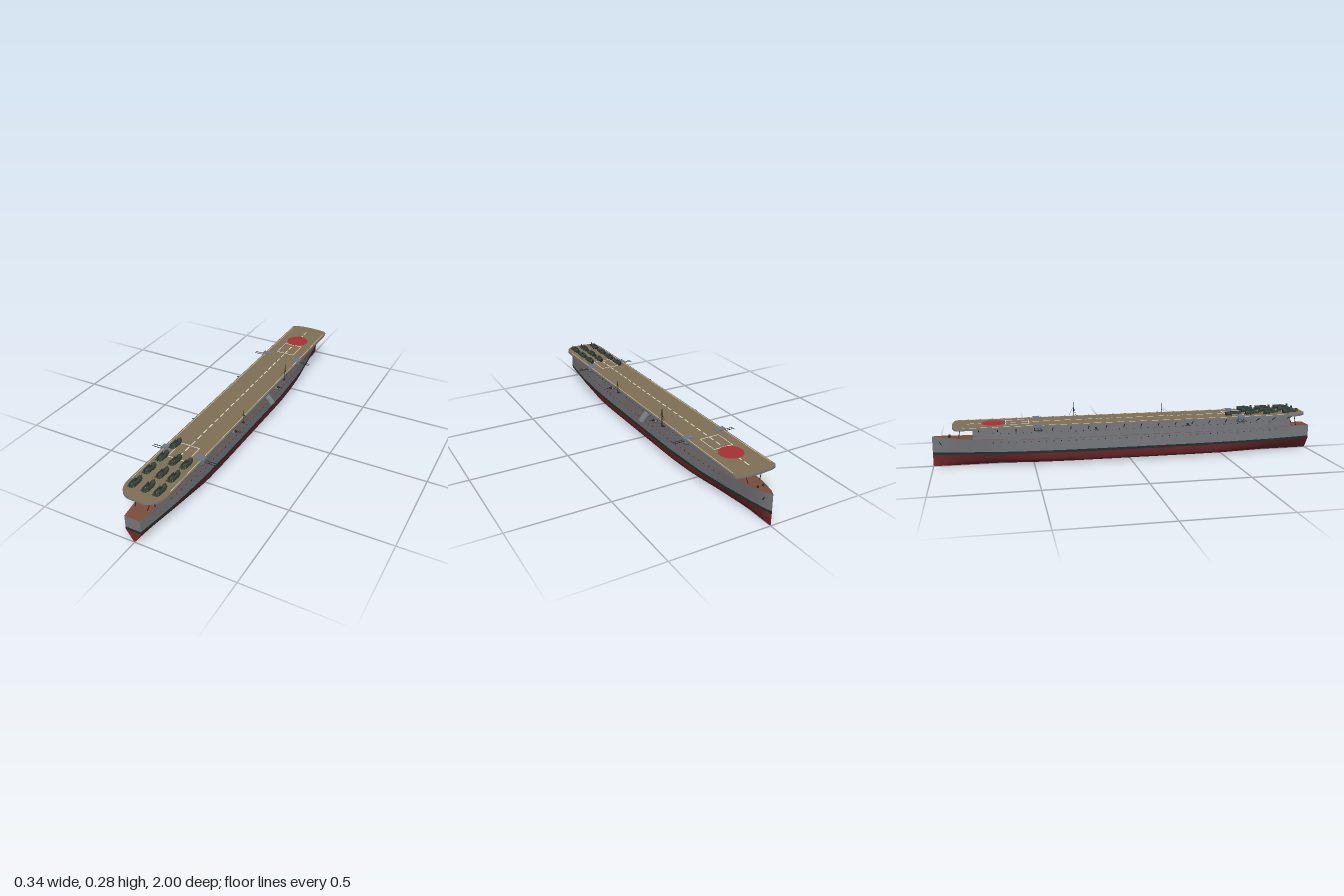
import * as THREE from 'three';
import { mergeGeometries, toCreasedNormals } from 'three/addons/utils/BufferGeometryUtils.js';

const mat = (name, color) => Object.assign(new THREE.MeshStandardMaterial({ color, side: THREE.DoubleSide }), { name });
const V = (x, y, z) => new THREE.Vector3(x, y, z);

// Interpolate a [z, value] table sorted by z.
function table(t, z) {
  for (let i = 1; i < t.length; i++) {
    if (z <= t[i][0]) return THREE.MathUtils.mapLinear(z, t[i - 1][0], t[i][0], t[i - 1][1], t[i][1]);
  }
  return t[t.length - 1][1];
}
const BEAM = [[-1, 0.001], [-0.97, 0.016], [-0.9, 0.036], [-0.75, 0.06], [-0.55, 0.077], [-0.3, 0.0875],
  [0.35, 0.0875], [0.55, 0.083], [0.75, 0.071], [0.9, 0.053], [1, 0.04]];
const beam = z => table(BEAM, z);
const waterBeam = z => beam(z) * table([[-1, 0.65], [-0.6, 0.97], [-0.3, 1], [1, 1]], z);
const deckY = z => table([[-1, 0.156], [-0.8, 0.141], [-0.5, 0.136], [1, 0.135]], z);
const hangarBeam = z => table([[-0.8, 0.05], [-0.6, 0.068], [-0.35, 0.08], [0.55, 0.08], [0.75, 0.066], [0.89, 0.045]], z);
const stations = (a, b, n) => Array.from({ length: n + 1 }, (_, i) => a + (b - a) * i / n);

// Skin cross-sections along z; caps close both ends of a convex section.
function loft(zs, section, caps = true) {
  const pos = [], idx = [], n = section(zs[0]).length, last = (zs.length - 1) * n;
  zs.forEach(z => section(z).forEach(([x, y]) => pos.push(x, y, z)));
  for (let i = 0; i < zs.length - 1; i++) for (let j = 0; j < n - 1; j++) {
    const a = i * n + j, b = a + n;
    idx.push(a, a + 1, b, a + 1, b + 1, b);
  }
  if (caps) for (let j = 1; j < n - 1; j++) idx.push(0, j + 1, j, last, last + j, last + j + 1);
  const g = new THREE.BufferGeometry();
  g.setAttribute('position', new THREE.Float32BufferAttribute(pos, 3));
  g.setIndex(idx);
  return toCreasedNormals(g.toNonIndexed(), 0.5);
}
// Section mirrored about x = 0, from port top down and up to starboard top.
const mirror = half => [...half.map(([x, y]) => [-x, y]).reverse(), ...half];

function bar(a, b, r, sides = 5) {
  const d = b.clone().sub(a), g = new THREE.CylinderGeometry(r, r, d.length(), sides);
  g.applyQuaternion(new THREE.Quaternion().setFromUnitVectors(V(0, 1, 0), d.normalize()));
  return g.translate((a.x + b.x) / 2, (a.y + b.y) / 2, (a.z + b.z) / 2);
}
const box = (w, h, d, x, y, z) => new THREE.BoxGeometry(w, h, d).translate(x, y, z);

export function createModel() {
  const root = new THREE.Group();
  root.name = 'aircraftCarrier';
  const grey = mat('hullGrey', 0x76787c), red = mat('antifoulingRed', 0x752a2c), boot = mat('bootTopping', 0x22302f);
  const tan = mat('flightDeckTan', 0x7f7054), wood = mat('woodBrown', 0x7a4f3a), white = mat('markingWhite', 0xdedbd0);
  const disc = mat('discRed', 0xaa3034), green = mat('aircraftGreen', 0x34443a), blue = mat('gunBlueGrey', 0x6c7888);
  const dark = mat('darkSteel', 0x292c2f);
  const add = (name, geo, m, parent = root) => {
    const mesh = new THREE.Mesh(Array.isArray(geo) ? mergeGeometries(geo) : geo, m);
    mesh.name = name;
    parent.add(mesh);
    return mesh;
  };

  // Hull in three colour bands
  const zs = [-1, -0.985, -0.97, ...stations(-0.94, 1, 40)];
  const full = [[0, 0.002], [0.68, 0.01], [0.86, 0.02], [0.96, 0.036], [1, 0.062]];
  const vee = [[0, 0.002], [0.2, 0.012], [0.45, 0.028], [0.72, 0.045], [1, 0.062]];
  const underwater = z => {
    const k = table([[-1, 0], [-0.45, 1], [0.5, 1], [1, 0]], z), w = waterBeam(z);
    return mirror(full.map((p, i) => [w * (p[0] * k + vee[i][0] * (1 - k)), p[1] * k + vee[i][1] * (1 - k)]));
  };
  add('underwaterHull', loft(zs, underwater), red);
  add('bootTopping', loft(zs, z => mirror([[waterBeam(z), 0.062], [waterBeam(z), 0.075]])), boot);
  add('topsides', loft(zs, z => mirror([[waterBeam(z), 0.075], [beam(z), deckY(z)]])), grey);
  add('mainDeck', loft(zs, z => [[beam(z), deckY(z)], [-beam(z), deckY(z)]], false), wood);

  // Hangar under the flight deck
  add('hangar', loft(stations(-0.8, 0.89, 26), z => mirror([[hangarBeam(z), 0.13], [hangarBeam(z), 0.201]])), grey);

  // Flight deck: slab plus planked top
  const outline = new THREE.Shape();
  outline.moveTo(-0.108, 0.865);
  outline.quadraticCurveTo(-0.106, 0.888, -0.075, 0.893);
  outline.quadraticCurveTo(0, 0.905, 0.075, 0.893);
  outline.quadraticCurveTo(0.106, 0.888, 0.108, 0.865);
  outline.lineTo(0.108, -0.865);
  outline.bezierCurveTo(0.106, -0.93, 0.07, -0.966, 0.03, -0.966);
  outline.lineTo(-0.03, -0.966);
  outline.bezierCurveTo(-0.07, -0.966, -0.106, -0.93, -0.108, -0.865);
  add('flightDeckSlab', new THREE.ExtrudeGeometry(outline, { depth: 0.01, bevelEnabled: false })
    .rotateX(-Math.PI / 2).translate(0, 0.2, 0), grey);
  add('flightDeckPlanking', new THREE.ShapeGeometry(outline).rotateX(-Math.PI / 2).translate(0, 0.2108, 0), tan);

  // Deck markings
  const marks = [], plate = (w, d, x, z) => marks.push(box(w, 0.001, d, x, 0.2114, z));
  for (let z = -0.81; z < 0.62; z += 0.0545) plate(0.006, 0.034, 0, z);
  for (const s of [-1, 1]) plate(0.0022, 1.7, s * 0.1, 0);
  for (const c of [-0.578, 0.583]) for (const s of [-1, 1]) {
    plate(0.003, 0.118, s * 0.05, c);
    plate(0.1, 0.004, 0, c + s * 0.058);
  }
  add('deckMarkings', marks, white);
  add('deckDisc', new THREE.CylinderGeometry(0.059, 0.059, 0.001, 40).translate(0, 0.2122, -0.695), disc);

  // Deck brackets, portholes and side rails
  const struts = [], ports = [];
  for (const s of [-1, 1]) {
    for (const z of stations(-0.77, 0.87, 18)) {
      struts.push(bar(V(s * (hangarBeam(z) - 0.002), 0.178, z), V(s * 0.106, 0.2, z), 0.0022));
    }
    for (const z of stations(-0.7, 0.8, 40)) {
      ports.push(box(0.003, 0.004, 0.004, s * (hangarBeam(z) + 0.0005), 0.17, z));
      ports.push(box(0.003, 0.004, 0.004, s * (beam(z) - 0.0002), 0.124, z));
    }
    for (const z of [-0.89, 0.95]) struts.push(bar(V(s * 0.03, deckY(z), z < 0 ? -0.87 : 0.93), V(s * 0.045, 0.2, z < 0 ? -0.86 : 0.91), 0.002));
  }
  add('deckBrackets', struts, dark);
  add('portholes', ports, dark);

  // Stern ladder
  const ladder = [box(0.0015, 0.066, 0.002, 0.041, 0.167, 0.892), box(0.0015, 0.066, 0.002, 0.047, 0.167, 0.892)];
  for (let y = 0.138; y < 0.2; y += 0.007) ladder.push(box(0.006, 0.0015, 0.002, 0.044, y, 0.892));
  add('sternLadder', ladder, boot);

  // Anchors and capstans at the bow
  const bow = [];
  for (const s of [-1, 1]) {
    bow.push(new THREE.CylinderGeometry(0.005, 0.006, 0.01, 10).translate(s * 0.014, 0.152, -0.915));
    bow.push(bar(V(s * 0.014, 0.13, -0.965), V(s * 0.017, 0.112, -0.955), 0.003));
  }
  add('bowGear', bow, dark);

  // Funnel: trunk out of the side, bent down
  const elbow = new THREE.CatmullRomCurve3([V(0.07, 0.18, -0.09), V(0.093, 0.178, -0.09), V(0.108, 0.166, -0.09), V(0.127, 0.141, -0.09)]);
  add('funnel', new THREE.TubeGeometry(elbow, 14, 0.0175, 18), grey);
  add('funnelMouth', bar(V(0.122, 0.148, -0.09), V(0.1275, 0.1405, -0.09), 0.0165, 18), dark);

  // Radio masts with stays
  for (const [z, top] of [[0.205, 0.258], [-0.275, 0.283]]) {
    const h = top - 0.025, parts = [bar(V(0.112, 0.185, z), V(0.112, top, z), 0.0016),
      bar(V(0.106, h, z), V(0.118, h, z), 0.0008), box(0.012, 0.005, 0.012, 0.108, 0.19, z)];
    for (const [dx, dz] of [[-0.024, 0.012], [0.024, 0.012], [0, -0.025]]) {
      parts.push(bar(V(0.112, h, z), V(0.112 + dx, 0.21, z + dz), 0.0005, 4));
    }
    add('radioMast', parts, dark);
  }

  // Twin heavy guns on sponsons, and light guns
  for (const s of [-1, 1]) {
    for (const z of [-0.475, 0.585]) {
      const gun = new THREE.Group();
      gun.name = 'twinGun';
      root.add(gun);
      add('sponson', new THREE.CylinderGeometry(0.024, 0.018, 0.01, 16).translate(s * 0.094, 0.187, z), grey, gun);
      add('gunHouse', [box(0.034, 0.024, 0.032, s * 0.098, 0.203, z), box(0.022, 0.003, 0.03, s * 0.075, 0.212, z)], blue, gun);
      add('barrels', [-1, 1].map(k => bar(V(s * 0.11, 0.2, z + k * 0.007), V(s * 0.168, 0.2, z + k * 0.007), 0.0016)), dark, gun);
    }
    for (const z of [-0.19, 0.29]) {
      add('lightGunPlatform', new THREE.CylinderGeometry(0.014, 0.01, 0.006, 12).translate(s * 0.108, 0.18, z), grey);
      add('lightGun', [box(0.012, 0.008, 0.01, s * 0.113, 0.187, z),
        ...[-1, 1].map(k => bar(V(s * 0.115, 0.188, z + k * 0.003), V(s * 0.138, 0.188, z + k * 0.003), 0.0009))], dark);
    }
  }

  // Parked aircraft with folded wings, nose towards the bow
  const body = new THREE.LatheGeometry([[0.001, -0.045], [0.004, -0.035], [0.0075, -0.005], [0.009, 0.02], [0.0115, 0.024],
    [0.0115, 0.036], [0.009, 0.039]].map(p => new THREE.Vector2(...p)), 12).rotateX(-Math.PI / 2);
  const tail = [body, box(0.03, 0.0015, 0.012, 0, 0.002, 0.037), box(0.0015, 0.014, 0.012, 0, 0.007, 0.038),
    box(0.03, 0.003, 0.026, 0, -0.003, -0.012)].map(g => g.index ? g.toNonIndexed() : g);
  const wings = [-1, 1].map(s => box(0.002, 0.011, 0.05, s * 0.0145, 0.002, 0.004));
  const gear = [new THREE.CylinderGeometry(0.009, 0.009, 0.002, 12).rotateX(Math.PI / 2).translate(0, 0, -0.039),
    box(0.0015, 0.024, 0.001, 0, 0, -0.043), box(0.006, 0.005, 0.018, 0, 0.009, -0.006)];
  for (const s of [-1, 1]) gear.push(bar(V(s * 0.009, -0.008, -0.014), V(s * 0.012, -0.008, -0.014), 0.004, 8));
  const spots = [[-0.06, 0.555]];
  for (const z of [0.665, 0.77, 0.877]) for (const x of [-0.06, 0.008, 0.067]) spots.push([x, z]);
  for (const [x, z] of spots) {
    const plane = new THREE.Group();
    plane.name = 'aircraft';
    plane.position.set(x, 0.222, z);
    add('fuselage', tail, green, plane);
    add('foldedWings', wings, green, plane);
    add('engineAndGear', gear, dark, plane);
    root.add(plane);
  }
  return root;
}
